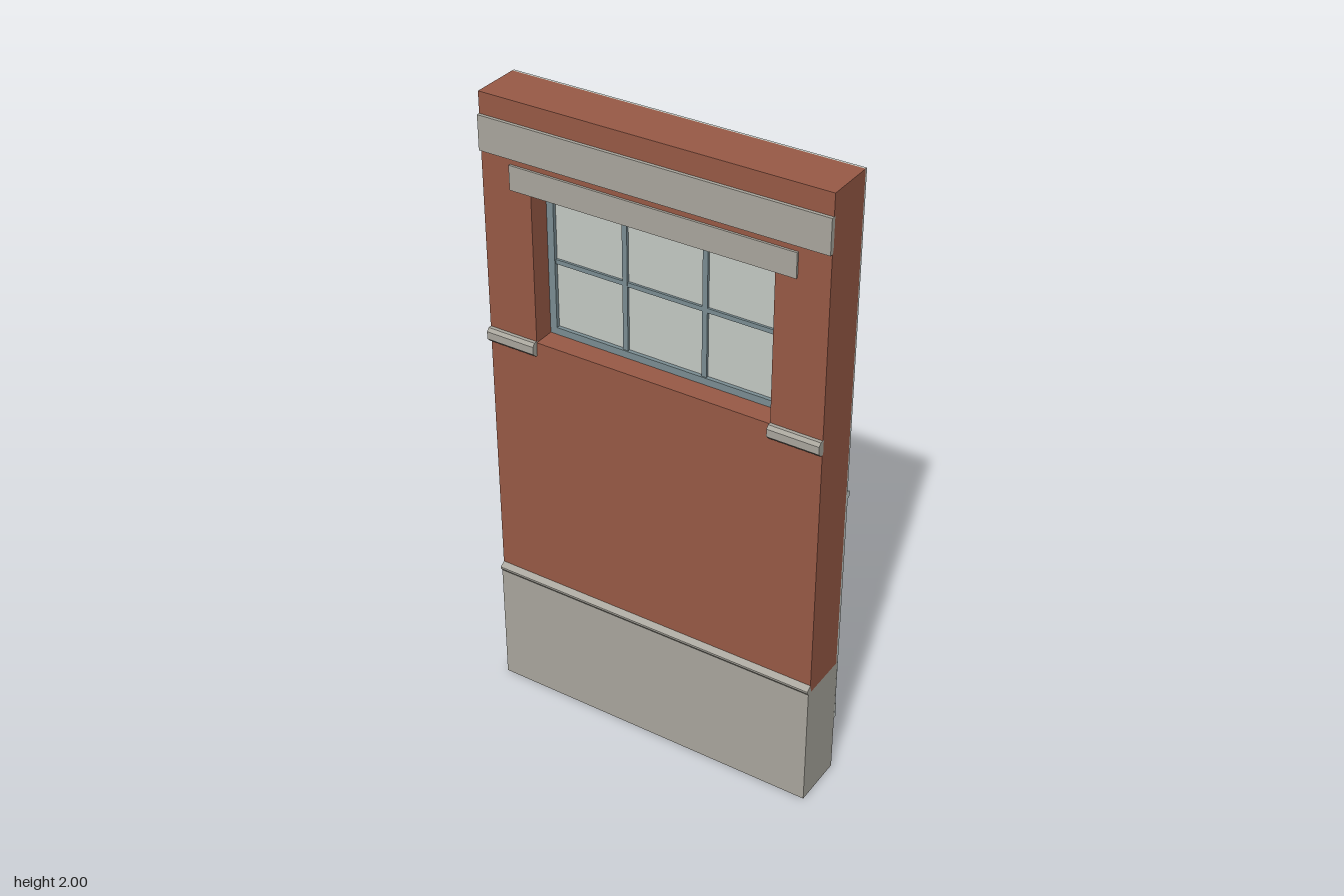
import * as THREE from 'three';

const mat = (name, color) => {
  const m = new THREE.MeshStandardMaterial({ color });
  m.name = name;
  return m;
};

export function createModel() {
  const group = new THREE.Group();
  const brick = mat('brick', 0x985a46);
  const stone = mat('stone', 0xaaa79e);
  const plaster = mat('plaster', 0xc4cac5);
  const glass = mat('glass', 0xc5cac5);
  const frame = mat('frame', 0x7b8e93);

  const W = 0.54;                                  // half width of the wall
  const open = { x: 0.38, y0: 1.27, y1: 1.735 };   // window opening

  const add = (name, geometry, material) => {
    const mesh = new THREE.Mesh(geometry, material);
    mesh.name = name;
    group.add(mesh);
    return mesh;
  };
  // box from its limits on each axis
  const box = (name, material, x0, x1, y0, y1, z0, z1) => {
    const g = new THREE.BoxGeometry(x1 - x0, y1 - y0, z1 - z0);
    g.translate((x0 + x1) / 2, (y0 + y1) / 2, (z0 + z1) / 2);
    return add(name, g, material);
  };
  const rect = (path, x, y0, y1) =>
    path.moveTo(-x, y0).lineTo(x, y0).lineTo(x, y1).lineTo(-x, y1).closePath();
  // upright slab with a rectangular hole
  const slab = (name, material, outer, hole, z0, z1) => {
    const s = new THREE.Shape();
    rect(s, ...outer);
    const h = new THREE.Path();
    rect(h, ...hole);
    s.holes.push(h);
    const g = new THREE.ExtrudeGeometry(s, { depth: z1 - z0, bevelEnabled: false });
    g.translate(0, 0, z0);
    return add(name, g, material);
  };
  // moulding with a [z, y] profile, swept along x
  const moulding = (name, material, profile, x0, x1) => {
    const s = new THREE.Shape(profile.map(([z, y]) => new THREE.Vector2(-z, y)));
    const g = new THREE.ExtrudeGeometry(s, { depth: x1 - x0, bevelEnabled: false });
    g.rotateY(Math.PI / 2);
    g.translate(x0, 0, 0);
    return add(name, g, material);
  };

  // wall body
  const hole = [open.x, open.y0, open.y1];
  box('base', stone, -W, W, 0, 0.405, -0.075, 0.095);
  slab('brickWall', brick, [W, 0.405, 2], hole, -0.069, 0.085);
  slab('plasterUpper', plaster, [W, 0.405, 2], hole, -0.076, -0.069);

  // interior lining, skirting and rail
  box('plasterLower', plaster, -W, W, 0.19, 0.99, -0.079, -0.0755);
  moulding('skirting', plaster,
    [[-0.076, 0.19], [-0.084, 0.19], [-0.084, 0.243], [-0.079, 0.25], [-0.076, 0.25]], -W, W);
  moulding('chairRail', plaster,
    [[-0.072, 0.988], [-0.085, 0.988], [-0.09, 0.994], [-0.09, 1.006], [-0.085, 1.012], [-0.072, 1.012]], -W, W);

  // exterior stone trim
  moulding('baseMoulding', stone,
    [[0.08, 0.403], [0.095, 0.403], [0.102, 0.413], [0.102, 0.419], [0.085, 0.431], [0.08, 0.431]], -W, W);
  box('corniceBand', stone, -W, W, 1.83, 1.935, 0.08, 0.095);
  box('lintel', stone, -0.445, 0.445, 1.735, 1.81, 0.08, 0.092);
  for (const side of [-1, 1]) {
    const a = side * open.x, b = side * W;
    moulding(side > 0 ? 'leftSillBand' : 'rightSillBand', stone,
      [[0.08, 1.228], [0.092, 1.228], [0.104, 1.24], [0.104, 1.264], [0.096, 1.274], [0.08, 1.274]],
      Math.min(a, b), Math.max(a, b));
  }

  // window
  const f = 0.022;
  slab('windowFrame', frame, hole, [open.x - f, open.y0 + f, open.y1 - f], -0.012, 0.016);
  for (const x of [-0.128, 0.128])
    box('mullion', frame, x - 0.008, x + 0.008, open.y0 + f, open.y1 - f, -0.008, 0.012);
  box('transom', frame, -open.x + f, open.x - f, 1.496, 1.51, -0.007, 0.011);
  box('windowGlass', glass, -open.x + f, open.x - f, open.y0 + f, open.y1 - f, 0, 0.004);

  // inner window board
  box('windowBoard', plaster, -0.378, 0.378, 1.271, 1.286, -0.105, -0.012);

  return group;
}
